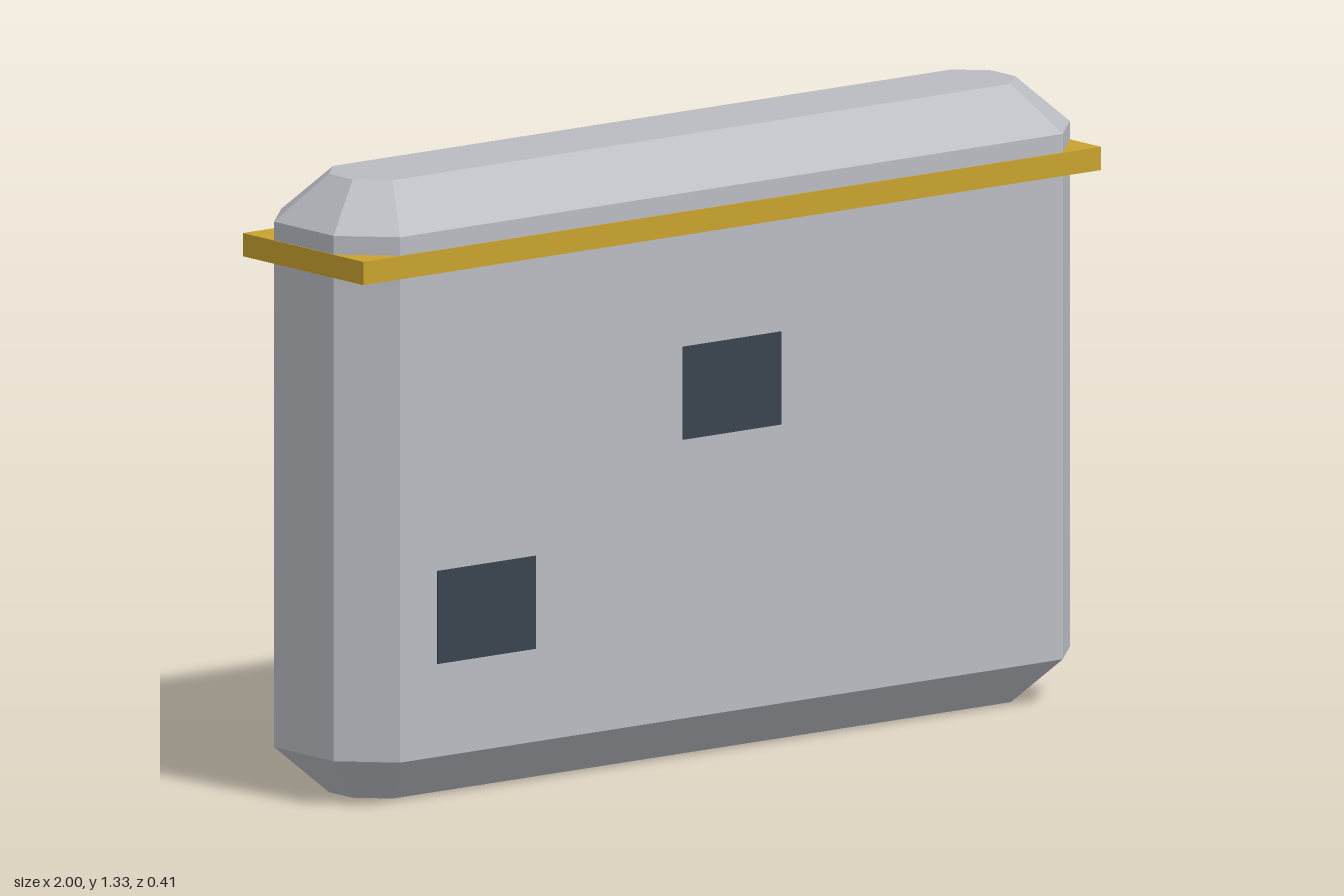
import * as THREE from 'three';

const grey = new THREE.MeshStandardMaterial({ name: 'grey', color: 0xb9bbc1 });
const gold = new THREE.MeshStandardMaterial({ name: 'gold', color: 0xc9a22f });
const dark = new THREE.MeshStandardMaterial({ name: 'darkSlate', color: 0x39424d });

// Octagon outline: a rectangle with cut corners, running from +x towards +z
function ring(y, hx, hz, cut) {
  return [
    [hx, cut - hz], [hx, hz - cut], [hx - cut, hz], [cut - hx, hz],
    [-hx, hz - cut], [-hx, cut - hz], [cut - hx, -hz], [hx - cut, -hz],
  ].map(([x, z]) => new THREE.Vector3(x, y, z));
}

// Flat-faced solid joining rings from bottom to top
function loft(rings) {
  const n = rings[0].length, last = (rings.length - 1) * n, index = [];
  for (let r = 0; r < rings.length - 1; r++) {
    for (let i = 0; i < n; i++) {
      const a = r * n + i, b = r * n + (i + 1) % n;
      index.push(a, a + n, b, b, a + n, b + n);
    }
  }
  for (let i = 1; i < n - 1; i++) {
    index.push(0, i, i + 1);
    index.push(last, last + i + 1, last + i);
  }
  const indexed = new THREE.BufferGeometry().setFromPoints(rings.flat());
  indexed.setIndex(index);
  const geometry = indexed.toNonIndexed();
  geometry.computeVertexNormals();
  return geometry;
}

export function createModel() {
  const model = new THREE.Group();
  const add = (name, geometry, material, x = 0, y = 0, z = 0) => {
    const mesh = new THREE.Mesh(geometry, material);
    mesh.name = name;
    mesh.position.set(x, y, z);
    model.add(mesh);
  };

  // Slab with bevelled top, bottom and corners
  add('body', loft([
    ring(0, 0.898, 0.1, 0.06),
    ring(0.1, 0.998, 0.2, 0.1),
    ring(1.23, 0.998, 0.2, 0.1),
    ring(1.33, 0.898, 0.1, 0.06),
  ]), grey);

  // Square-cornered band near the top
  add('band', new THREE.BoxGeometry(2, 0.05, 0.405), gold, 0, 1.165, 0);

  // Dark panels on both broad faces
  const panel = new THREE.BoxGeometry(0.266, 0.2, 0.006);
  for (const [side, s] of [['front', 1], ['back', -1]]) {
    add(side + 'CentrePanel', panel, dark, 0, 0.8, s * 0.1995);
    add(side + 'LowerPanel', panel, dark, -0.665, 0.4, s * 0.1995);
  }
  return model;
}
